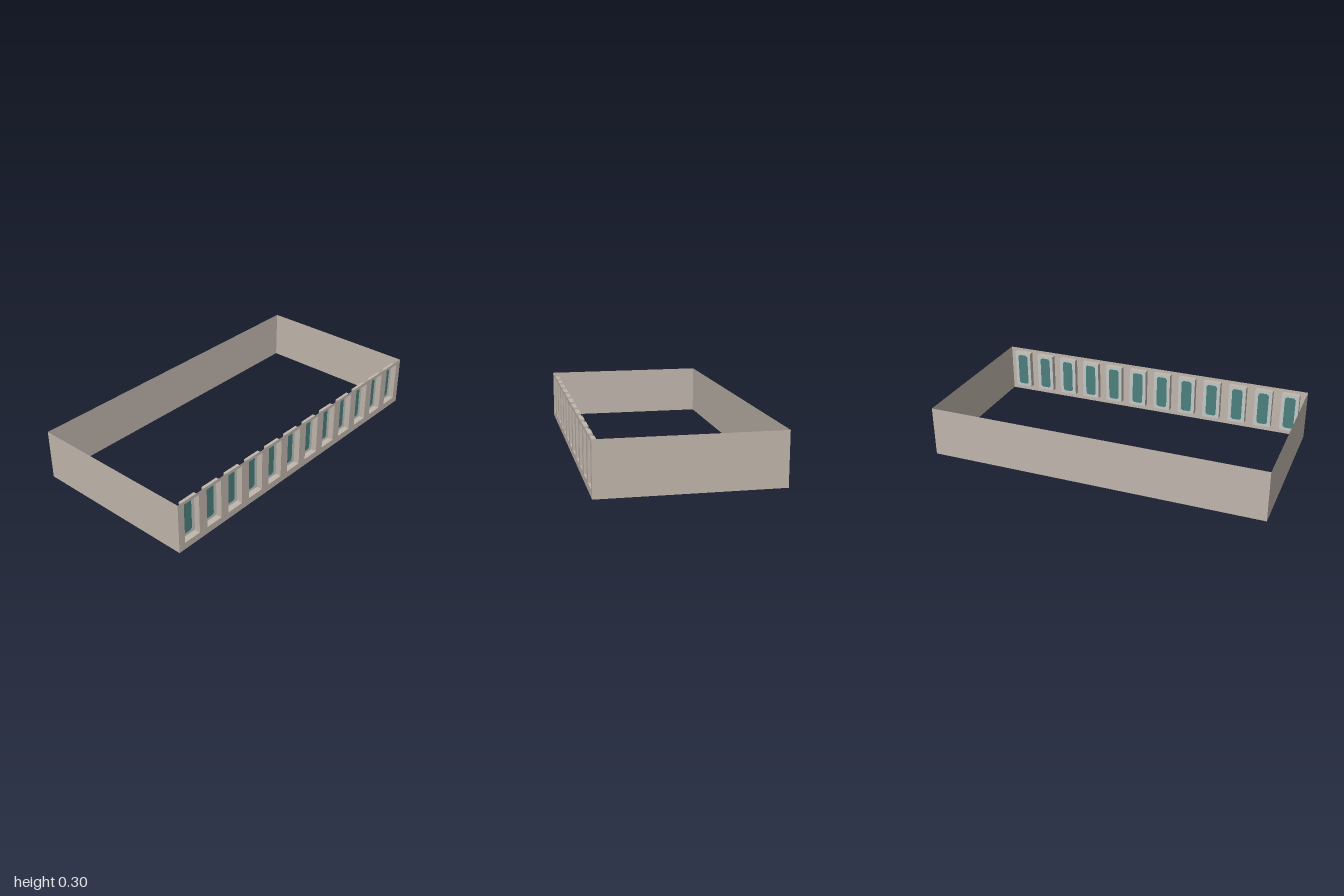
import * as THREE from 'three';

const W = 2, H = 0.3, D = 1;
const COUNT = 12, PITCH = 0.1643, RECESS = 0.035;
const BAY = { w: 0.108, y0: 0.041, y1: 0.281 };
const PANE = { w: 0.066, y0: 0.058, y1: 0.264, cut: 0.011 };

const material = (name, color) =>
  new THREE.MeshStandardMaterial({ name, color, side: THREE.DoubleSide });

// Rectangle with optionally clipped corners, as a list of points
function outline(cx, { w, y0, y1, cut = 0 }) {
  const a = cx - w / 2, b = cx + w / 2;
  const pts = cut
    ? [[a + cut, y0], [b - cut, y0], [b, y0 + cut], [b, y1 - cut],
       [b - cut, y1], [a + cut, y1], [a, y1 - cut], [a, y0 + cut]]
    : [[a, y0], [b, y0], [b, y1], [a, y1]];
  return pts.map(([x, y]) => new THREE.Vector2(x, y));
}

export function createModel() {
  const stone = material('stone', 0xc0b6ac);
  const frameGrey = material('frame grey', 0xc3c8c7);
  const glassTeal = material('glass teal', 0x4b7f7d);
  const model = new THREE.Group();
  model.name = 'windowedStorey';

  function add(name, geometry, mat, x, y, z, rx = 0, ry = 0, parent = model) {
    const mesh = new THREE.Mesh(geometry, mat);
    mesh.name = name;
    mesh.position.set(x, y, z);
    mesh.rotation.set(rx, ry, 0);
    parent.add(mesh);
  }

  // Plain sheet walls, open above and below
  add('backWall', new THREE.PlaneGeometry(W, H), stone, 0, H / 2, -D / 2, 0, Math.PI);
  for (const s of [-1, 1])
    add(s > 0 ? 'leftWall' : 'rightWall', new THREE.PlaneGeometry(D, H), stone,
      s * W / 2, H / 2, 0, 0, s * Math.PI / 2);

  // Front wall with one opening per window
  const front = new THREE.Shape(outline(0, { w: W, y0: 0, y1: H }));
  const centres = Array.from({ length: COUNT }, (_, i) => (i - (COUNT - 1) / 2) * PITCH);
  for (const x of centres) front.holes.push(new THREE.Path(outline(x, BAY)));
  add('frontWall', new THREE.ShapeGeometry(front), stone, 0, 0, D / 2);

  // Shared window parts
  const frameShape = new THREE.Shape(outline(0, BAY));
  frameShape.holes.push(new THREE.Path(outline(0, PANE)));
  const frameGeo = new THREE.ShapeGeometry(frameShape);
  const paneGeo = new THREE.ShapeGeometry(new THREE.Shape(outline(0, PANE)));
  const jambGeo = new THREE.PlaneGeometry(RECESS, BAY.y1 - BAY.y0);
  const sillGeo = new THREE.PlaneGeometry(BAY.w, RECESS);
  const midY = (BAY.y0 + BAY.y1) / 2, midZ = -RECESS / 2;

  for (const x of centres) {
    const bay = new THREE.Group();
    bay.name = 'window';
    bay.position.set(x, 0, D / 2);
    model.add(bay);
    add('frame', frameGeo, frameGrey, 0, 0, -RECESS, 0, 0, bay);
    add('pane', paneGeo, glassTeal, 0, 0, -RECESS, 0, 0, bay);
    // Reveals facing into the recess
    for (const s of [-1, 1])
      add('jamb', jambGeo, stone, s * BAY.w / 2, midY, midZ, 0, -s * Math.PI / 2, bay);
    add('sill', sillGeo, stone, 0, BAY.y0, midZ, -Math.PI / 2, 0, bay);
    add('lintel', sillGeo, stone, 0, BAY.y1, midZ, Math.PI / 2, 0, bay);
  }
  return model;
}
